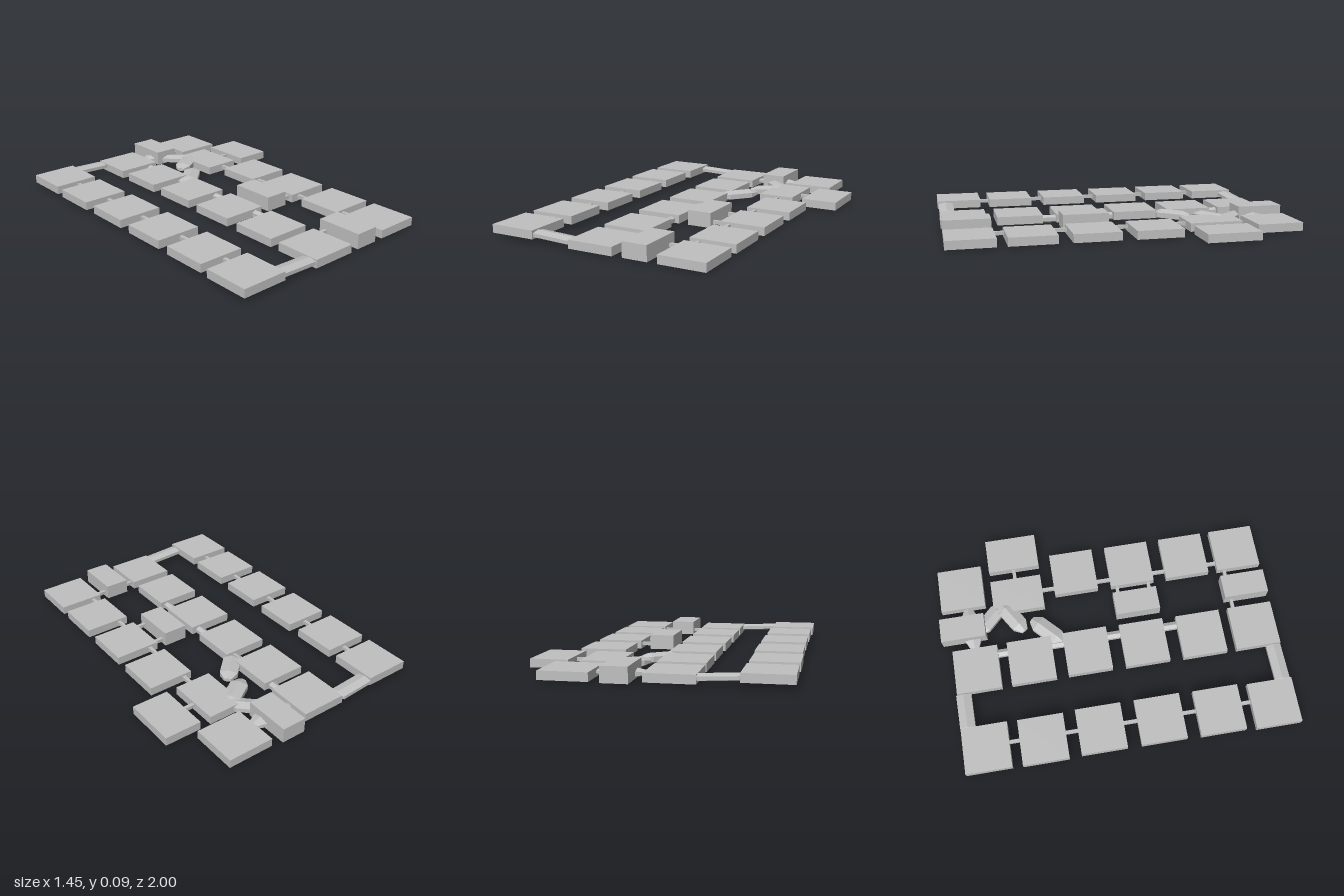
import * as THREE from 'three';

export function createModel() {
  const model = new THREE.Group();
  const grey = new THREE.MeshStandardMaterial({ color: 0xc0c0c0 });
  grey.name = 'light grey';
  const facetGrey = grey;

  function block(name, x0, x1, z0, z1, y0, y1) {
    const mesh = new THREE.Mesh(new THREE.BoxGeometry(x1 - x0, y1 - y0, z1 - z0), grey);
    mesh.position.set((x0 + x1) / 2, (y0 + y1) / 2, (z0 + z1) / 2);
    mesh.name = name;
    model.add(mesh);
  }

  // Six-sided faceted bar with tapered ends, running from a to b
  function crystal(name, a, b, width, height, tip) {
    const start = new THREE.Vector3(...a), end = new THREE.Vector3(...b);
    const dir = end.clone().sub(start), len = dir.length();
    const profile = [[0, 0], [0.2, 0], [0.5, tip], [0.5, len - tip], [0.2, len], [0, len]]
      .map(([r, y]) => new THREE.Vector2(r, y));
    const geo = new THREE.LatheGeometry(profile, 6).toNonIndexed();
    geo.scale(width / 0.866, 1, height);
    const side = new THREE.Vector3(dir.z, 0, -dir.x).normalize();
    const along = dir.normalize();
    const up = new THREE.Vector3().crossVectors(side, along);
    geo.applyMatrix4(new THREE.Matrix4().makeBasis(side, along, up));
    geo.computeVertexNormals();
    const mesh = new THREE.Mesh(geo, facetGrey);
    mesh.position.copy(start);
    mesh.name = name;
    model.add(mesh);
  }

  // Raised left-hand row of tiles: centre x, centre z
  for (const [x, z] of [[-0.577, -0.812], [-0.581, -0.487], [-0.575, -0.151],
    [-0.577, 0.195], [-0.582, 0.54], [-0.592, 0.863]])
    block('outerTile', x - 0.133, x + 0.133, z - 0.133, z + 0.133, 0.025, 0.073);

  // Middle row and right-hand row of tiles
  for (const [x, z] of [[-0.099, -0.814], [-0.096, -0.49], [-0.093, -0.154],
    [-0.097, 0.19], [-0.1, 0.536], [-0.1, 0.858],
    [0.428, -0.854], [0.428, -0.159], [0.424, 0.187], [0.423, 0.531], [0.423, 0.853]])
    block('innerTile', x - 0.133, x + 0.133, z - 0.133, z + 0.133, 0.008, 0.056);

  // Narrow tile pair
  block('narrowTile', 0.229, 0.444, -0.673, -0.365, 0.008, 0.056);
  block('narrowTile', 0.507, 0.721, -0.673, -0.365, 0.008, 0.056);

  // Tall narrow blocks
  for (const z of [-0.868, 0.187, 0.853])
    block('tallBlock', 0.09, 0.234, z - 0.133, z + 0.133, 0.008, 0.094);

  // Thin rods between neighbouring tiles
  for (const z of [-0.65, -0.32, 0.022, 0.365, 0.7])
    block('outerRod', -0.572, -0.552, z - 0.045, z + 0.045, 0.037, 0.057);
  for (const z of [-0.328, 0.012, 0.36, 0.693])
    block('innerRod', 0.335, 0.355, z - 0.05, z + 0.05, 0.025, 0.045);
  for (const [x, z] of [[0.06, 0.763], [0.262, 0.763], [0.262, 0.09], [0.262, 0.284], [0.476, -0.521]])
    block('crossRod', x - 0.04, x + 0.04, z - 0.01, z + 0.01, 0.025, 0.045);

  // Faceted links down the middle row
  for (const [z0, z1] of [[-0.71, -0.61], [-0.37, -0.27], [-0.04, 0.075], [0.3, 0.43]])
    crystal('middleLink', [-0.014, 0.024, z0], [-0.014, 0.024, z1], 0.045, 0.045, 0.015);

  // Sloping bars joining the raised row to the middle row
  crystal('endBar', [-0.47, 0.049, -0.904], [-0.21, 0.037, -0.91], 0.088, 0.04, 0.03);
  crystal('endBar', [-0.485, 0.049, 0.947], [-0.21, 0.037, 0.945], 0.088, 0.04, 0.03);

  // Loose crystal bars near the back corner
  crystal('crystalBar', [0.025, 0.032, -0.813], [0.305, 0.032, -0.829], 0.1, 0.05, 0.07);
  crystal('crystalBar', [0.13, 0.035, -0.78], [0.29, 0.035, -0.62], 0.09, 0.05, 0.05);
  crystal('crystalBar', [0.1, 0.035, -0.505], [0.3, 0.035, -0.63], 0.1, 0.058, 0.05);
  crystal('crystalBar', [0.165, 0.035, -0.455], [-0.01, 0.03, -0.285], 0.1, 0.06, 0.05);

  return model;
}
